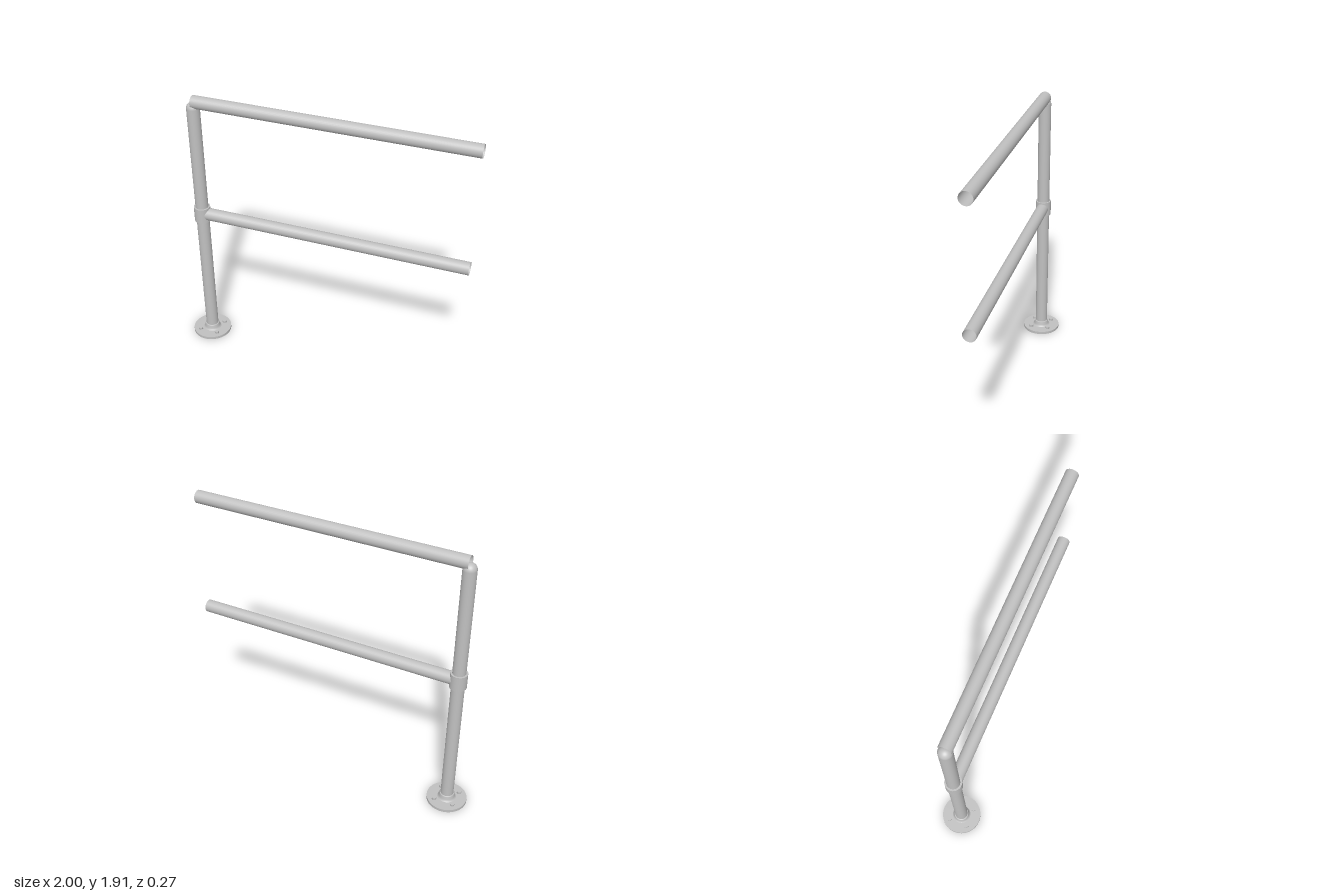
import * as THREE from 'three';

const POST_X = -0.863;
const PIPE_R = 0.044;

export function createModel() {
  const model = new THREE.Group();
  model.name = 'pipeRailing';
  const steel = new THREE.MeshStandardMaterial({ color: 0xc0c0c0, side: THREE.DoubleSide });
  steel.name = 'galvanised steel';

  const add = (name, geometry, x, y, z = 0) => {
    const mesh = new THREE.Mesh(geometry, steel);
    mesh.name = name;
    mesh.position.set(x, y, z);
    model.add(mesh);
    return mesh;
  };

  // Floor flange: round plate
  add('basePlate', new THREE.CylinderGeometry(0.137, 0.137, 0.02, 48), POST_X, 0.01);

  // Flared hub rising from the plate to the post
  const hub = [[0.064, 0.02], [0.058, 0.025], [0.054, 0.035], [0.051, 0.055], [0.049, 0.06], [0.043, 0.06]]
    .map(([r, y]) => new THREE.Vector2(r, y));
  add('baseHub', new THREE.LatheGeometry(hub, 32), POST_X, 0);

  // Four hexagonal bolt heads
  for (const sx of [-1, 1]) {
    for (const sz of [-1, 1]) {
      const bolt = new THREE.CylinderGeometry(0.016, 0.016, 0.016, 6).toNonIndexed();
      bolt.computeVertexNormals();
      add('bolt', bolt, POST_X + sx * 0.066, 0.028, sz * 0.066);
    }
  }

  // Upright post with a domed top
  const postTop = 1.818;
  add('post', new THREE.CylinderGeometry(PIPE_R, PIPE_R, postTop - 0.02, 32, 1, true), POST_X, (postTop + 0.02) / 2);
  add('postDome', new THREE.SphereGeometry(PIPE_R, 32, 12, 0, Math.PI * 2, 0, Math.PI / 2), POST_X, postTop);

  // Tee collar that holds the middle rail
  add('collar', new THREE.CylinderGeometry(0.056, 0.056, 0.107, 32), POST_X, 1.028);

  // Open-ended horizontal rails
  const addRail = (name, startX, y) => {
    const rail = new THREE.CylinderGeometry(0.043, 0.043, 1 - startX, 32, 1, true);
    rail.rotateZ(Math.PI / 2);
    add(name, rail, (1 + startX) / 2, y);
  };
  addRail('topRail', POST_X, 1.863);
  addRail('middleRail', POST_X + 0.03, 1.028);

  return model;
}
